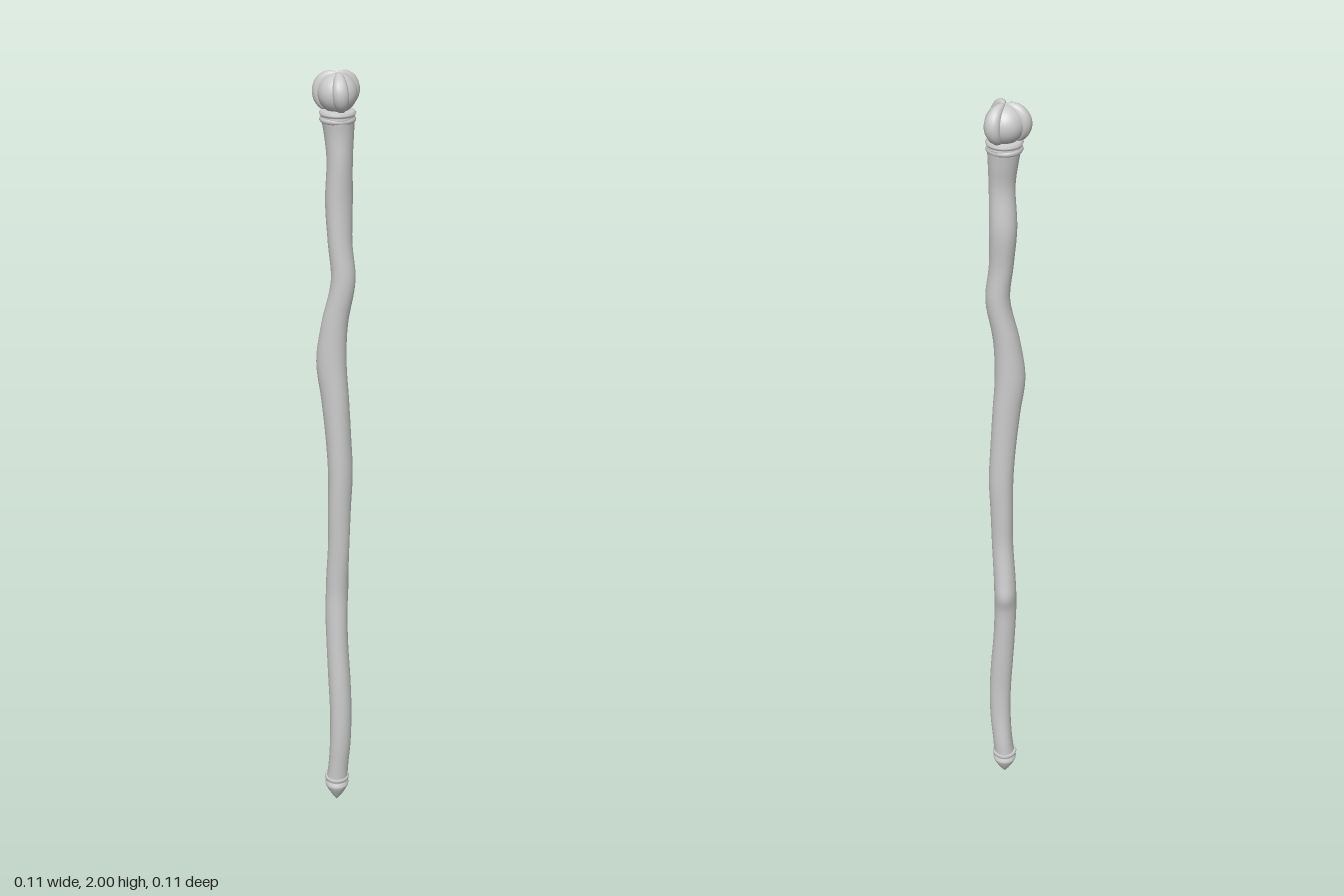
import * as THREE from 'three';

const material = new THREE.MeshStandardMaterial({ color: 0xcccccc, side: THREE.DoubleSide });

function addMesh(parent, name, geometry, x = 0, y = 0, z = 0) {
  const mesh = new THREE.Mesh(geometry, material);
  mesh.name = name;
  mesh.position.set(x, y, z);
  parent.add(mesh);
  return mesh;
}

// Closed surface through a grid: point(u, v) returns a Vector3, v runs around the section
function loft(rows, sides, point) {
  const pos = [], index = [];
  for (let i = 0; i <= rows; i++) {
    for (let j = 0; j < sides; j++) pos.push(...point(i / rows, j / sides).toArray());
  }
  for (let i = 0; i < rows; i++) {
    for (let j = 0; j < sides; j++) {
      const k = (j + 1) % sides;
      const a = i * sides + j, b = i * sides + k, c = a + sides, d = b + sides;
      index.push(a, c, b, b, c, d);
    }
  }
  const g = new THREE.BufferGeometry();
  g.setAttribute('position', new THREE.Float32BufferAttribute(pos, 3));
  g.setIndex(index);
  g.computeVertexNormals();
  return g;
}

// Gnarled shaft stations: y, x min, x max, z min, z max
const stations = [
  [0.07, -0.023, 0.035, -0.018, 0.044],
  [0.12, -0.017, 0.038, -0.017, 0.046],
  [0.20, -0.012, 0.045, -0.010, 0.050],
  [0.30, -0.012, 0.047, -0.008, 0.050],
  [0.40, -0.017, 0.043, -0.013, 0.047],
  [0.50, -0.022, 0.036, -0.018, 0.041],
  [0.60, -0.026, 0.033, -0.024, 0.036],
  [0.65, -0.026, 0.033, -0.036, 0.034],
  [0.70, -0.024, 0.034, -0.029, 0.035],
  [0.80, -0.018, 0.038, -0.016, 0.039],
  [0.90, -0.018, 0.041, -0.018, 0.043],
  [1.00, -0.018, 0.045, -0.021, 0.045],
  [1.10, -0.024, 0.041, -0.021, 0.045],
  [1.20, -0.034, 0.036, -0.021, 0.045],
  [1.30, -0.046, 0.030, -0.021, 0.045],
  [1.40, -0.033, 0.033, -0.020, 0.045],
  [1.51, -0.010, 0.050, -0.020, 0.044],
  [1.60, -0.018, 0.041, -0.022, 0.042],
  [1.70, -0.026, 0.040, -0.032, 0.039],
  [1.80, -0.021, 0.041, -0.025, 0.040],
  [1.86, -0.028, 0.043, -0.034, 0.040],
  [1.90, -0.035, 0.045, -0.040, 0.044],
];

function shaftGeometry() {
  const xs = new THREE.CatmullRomCurve3(stations.map(s => new THREE.Vector3(s[1], s[0], s[2])));
  const zs = new THREE.CatmullRomCurve3(stations.map(s => new THREE.Vector3(s[3], s[0], s[4])));
  return loft(105, 24, (u, v) => {
    const p = xs.getPoint(u), q = zs.getPoint(u), a = v * Math.PI * 2;
    // shallow twisting ridges give the wood its grain
    const r = 1 + 0.02 * Math.sin(3 * a + p.y * 9) - 0.02;
    return new THREE.Vector3(
      (p.x + p.z) / 2 + Math.cos(a) * r * (p.z - p.x) / 2,
      p.y,
      (q.x + q.z) / 2 + Math.sin(a) * r * (q.z - q.x) / 2);
  });
}

// Claw hugging the orb: bulges at the middle, narrows to a point at the crown
function clawGeometry() {
  return loft(24, 12, (u, v) => {
    const polar = THREE.MathUtils.lerp(2.5, 0.04, u);
    const bulge = Math.pow(Math.sin(Math.PI * Math.min(1, u * 0.95 + 0.05)), 0.7);
    const a = v * Math.PI * 2;
    const radius = 0.044 + Math.sin(a) * (0.003 + 0.014 * bulge);
    const side = Math.cos(a) * (0.002 + 0.020 * bulge * (1 - 0.3 * u));
    const lean = 0.006 * Math.sin(u * Math.PI);
    return new THREE.Vector3(
      radius * Math.sin(polar), radius * Math.cos(polar), side + lean);
  });
}

export function createModel() {
  const group = new THREE.Group();
  group.name = 'staff';

  addMesh(group, 'shaft', shaftGeometry());

  // Pointed foot with a rounded band
  const foot = [[0, 0], [0.012, 0.017], [0.024, 0.038], [0.031, 0.053], [0.032, 0.060],
    [0.027, 0.067], [0.027, 0.070], [0.032, 0.074], [0.033, 0.080], [0.031, 0.085], [0, 0.087]];
  addMesh(group, 'footSpike',
    new THREE.LatheGeometry(foot.map(p => new THREE.Vector2(...p)), 24), 0.006, 0, 0.013);

  // Stepped collar under the head
  const collar = [[0, 1.888], [0.040, 1.888], [0.043, 1.893], [0.041, 1.898], [0.037, 1.901],
    [0.041, 1.904], [0.043, 1.909], [0.038, 1.915], [0, 1.917]];
  addMesh(group, 'collar',
    new THREE.LatheGeometry(collar.map(p => new THREE.Vector2(...p)), 24), 0.004, 0, 0.002);

  // Orb held by three claws
  const head = new THREE.Group();
  head.name = 'head';
  head.position.set(0.003, 1.952, 0);
  group.add(head);
  addMesh(head, 'orb', new THREE.SphereGeometry(0.0455, 32, 20));
  const claw = clawGeometry();
  for (let i = 0; i < 3; i++) {
    addMesh(head, 'claw' + (i + 1), claw).rotation.y = Math.PI + i * Math.PI * 2 / 3;
  }
  return group;
}
